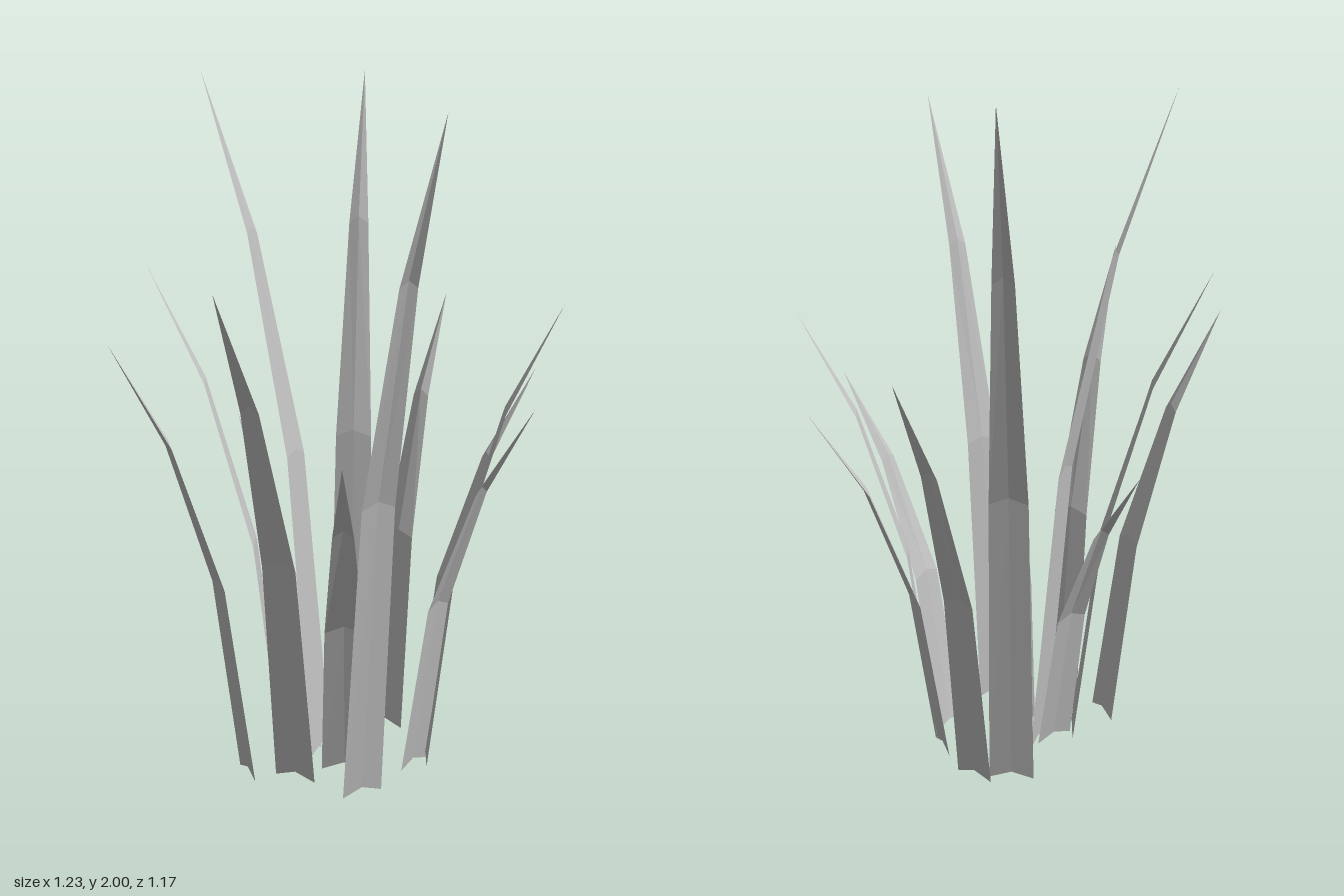
import * as THREE from 'three';

// Each blade: base corner 1 (x, z), base corner 2 (x, z), tip (x, y, z)
const BLADES = [
  [-0.06, -0.23, 0.07, -0.22, 0.035, 2.0, -0.585],
  [-0.05, -0.08, -0.10, 0.04, -0.42, 1.99, -0.165],
  [0.065, -0.25, 0.163, -0.187, 0.295, 1.315, -0.53],
  [0.193, -0.11, 0.24, -0.005, 0.555, 1.13, -0.223],
  [0.233, -0.025, 0.24, 0.09, 0.61, 1.35, 0.02],
  [0.166, 0.124, 0.236, 0.025, 0.515, 1.1, 0.265],
  [0.11, 0.245, 0.005, 0.31, 0.265, 1.87, 0.582],
  [-0.065, 0.117, 0.067, 0.113, 0.01, 0.98, 0.475],
  [-0.195, 0.157, -0.08, 0.213, -0.31, 1.43, 0.505],
  [-0.305, 0.1, -0.25, 0.21, -0.615, 1.275, 0.315],
  [-0.18, -0.015, -0.18, 0.107, -0.555, 1.46, 0.04],
  [-0.173, 0.035, -0.075, -0.038, -0.34, 0.97, -0.288],
];

// Cross-sections: fraction of reach, fraction of height, fraction of width
const SECTIONS = [[0, 0, 1], [0.21, 0.45, 0.83], [0.57, 0.77, 0.45]];
const CREASE = 0.02; // lift of the middle crease

function bladeGeometry([x1, z1, x2, z2, tx, ty, tz]) {
  const base = new THREE.Vector3((x1 + x2) / 2, 0, (z1 + z2) / 2);
  const half = new THREE.Vector3((x2 - x1) / 2, 0, (z2 - z1) / 2);
  // keep the front of every blade facing outward and down
  if (half.x * (tz - base.z) - half.z * (tx - base.x) < 0) half.negate();
  const points = [];
  for (const [reach, height, width] of SECTIONS) {
    for (const side of [-1, 0, 1]) {
      points.push(
        base.x + (tx - base.x) * reach + half.x * width * side,
        ty * height + (side === 0 ? CREASE : 0),
        base.z + (tz - base.z) * reach + half.z * width * side
      );
    }
  }
  points.push(tx, ty, tz);

  const index = [];
  for (let row = 0; row < SECTIONS.length; row++) {
    for (let col = 0; col < 2; col++) {
      const a = row * 3 + col, b = a + 1;
      if (row < SECTIONS.length - 1) index.push(a, b, b + 3, a, b + 3, a + 3);
      else index.push(a, b, SECTIONS.length * 3);
    }
  }
  const indexed = new THREE.BufferGeometry();
  indexed.setAttribute('position', new THREE.Float32BufferAttribute(points, 3));
  indexed.setIndex(index);
  const geometry = indexed.toNonIndexed();
  geometry.computeVertexNormals();
  return geometry;
}

export function createModel() {
  const group = new THREE.Group();
  group.name = 'grassTuft';
  const grey = new THREE.MeshStandardMaterial({ color: 0xc0c0c0, side: THREE.DoubleSide, flatShading: true });
  grey.name = 'bladeGrey';

  BLADES.forEach((blade, i) => {
    const mesh = new THREE.Mesh(bladeGeometry(blade), grey);
    mesh.name = `grassBlade${i + 1}`;
    group.add(mesh);
  });
  return group;
}
